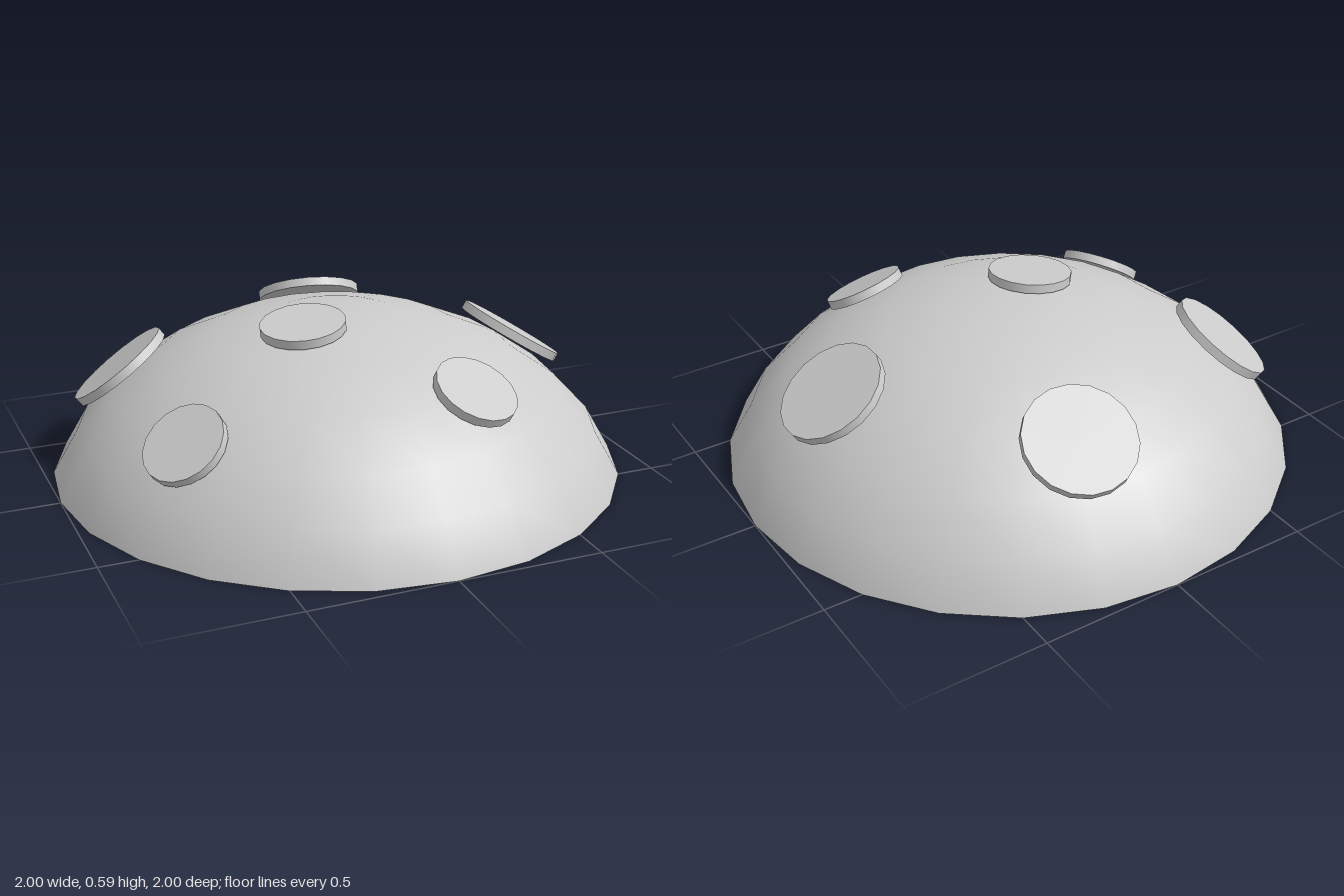
import * as THREE from 'three';

const A = 1.0515;            // horizontal radius of the ellipsoid
const B = 0.81;              // vertical radius of the ellipsoid
const CAP = Math.PI * 0.4;   // how far the dome reaches down from its top
const CENTRE_Y = -B * Math.cos(CAP);

export function createModel() {
  const model = new THREE.Group();
  const material = new THREE.MeshStandardMaterial({ color: 0xcccccc });

  // Dome: smooth upper part of a flattened sphere
  const domeGeometry = new THREE.SphereGeometry(1, 24, 6, 0, Math.PI * 2, 0, CAP);
  domeGeometry.scale(A, B, A).translate(0, CENTRE_Y, 0);
  const dome = new THREE.Mesh(domeGeometry, material);
  dome.name = 'dome';
  model.add(dome);

  // Flat underside
  const underside = new THREE.Mesh(new THREE.CircleGeometry(1, 24), material);
  underside.rotation.x = Math.PI / 2;
  underside.name = 'underside';
  model.add(underside);

  // Round spots lying on the dome: x, z, radius, lift along the normal
  const spots = [
    [-0.163, 0.11, 0.147, 0.012],
    [0.26, 0.553, 0.145, 0.012],
    [-0.665, 0.38, 0.145, 0.01],
    [0.66, 0.02, 0.193, 0.027],
    [0.145, -0.637, 0.193, 0.028],
    [-0.68, -0.315, 0.193, 0.026],
  ];
  const up = new THREE.Vector3(0, 1, 0);
  spots.forEach(([x, z, radius, lift], i) => {
    const h = B * Math.sqrt(1 - (x * x + z * z) / (A * A));
    const normal = new THREE.Vector3(x / (A * A), h / (B * B), z / (A * A)).normalize();
    const spot = new THREE.Mesh(new THREE.CylinderGeometry(radius, radius, 0.032, 18), material);
    spot.position.set(x, CENTRE_Y + h, z).addScaledVector(normal, lift);
    spot.quaternion.setFromUnitVectors(up, normal);
    spot.name = `spot${i + 1}`;
    model.add(spot);
  });

  return model;
}
